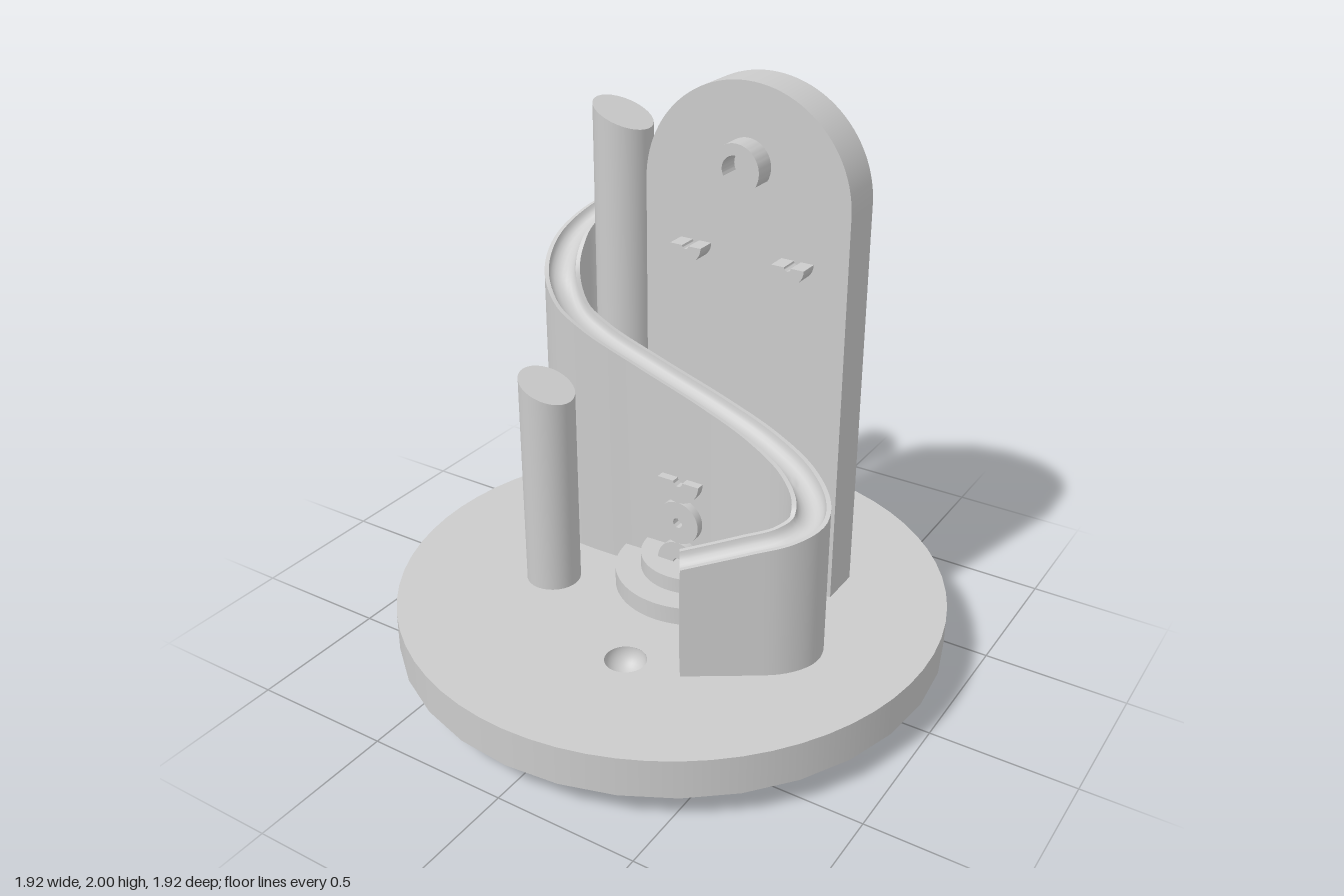
import * as THREE from 'three';
import { toCreasedNormals } from 'three/addons/utils/BufferGeometryUtils.js';

const material = new THREE.MeshStandardMaterial({ color: 0xcccccc });
const innerMaterial = new THREE.MeshStandardMaterial({ color: 0xcccccc, side: THREE.BackSide });
const FLOOR = 0.24; // top of the base

function part(name, geometry, mat = material) {
  const mesh = new THREE.Mesh(geometry, mat);
  mesh.name = name;
  return mesh;
}

// Flat outline pushed along z from z0 to z1
function slab(name, shape, z0, z1) {
  const g = new THREE.ExtrudeGeometry(shape, { depth: z1 - z0, bevelEnabled: false, curveSegments: 24 });
  g.translate(0, 0, z0);
  return part(name, toCreasedNormals(g, 0.6));
}

// Ring sector between two angles
function ringShape(x, y, outer, inner, a0, a1) {
  const s = new THREE.Shape();
  s.absarc(x, y, outer, a0, a1, false);
  s.absarc(x, y, inner, a1, a0, true);
  s.closePath();
  return s;
}

// Round post whose top is cut at a slant falling towards +x
function post(name, x, z, r, y0, y1) {
  const g = new THREE.CylinderGeometry(r, r, y1 - y0, 32);
  g.translate(0, (y0 + y1) / 2, 0);
  const p = g.attributes.position;
  for (let i = 0; i < p.count; i++) {
    if (p.getY(i) > y1 - 0.001) p.setY(i, y1 - 0.4 * p.getX(i));
  }
  g.translate(x, 0, z);
  return part(name, toCreasedNormals(g, 0.6));
}

// Round base with a bowl sunk into its top
function makeBase() {
  const base = new THREE.Group();
  base.name = 'base';
  const R = 0.96, bottom = 0.1;
  const top = new THREE.Shape().absarc(0, 0, R, 0, Math.PI * 2, false);
  top.holes.push(new THREE.Path().absarc(0.12, -0.47, 0.07, 0, Math.PI * 2, true));
  const topGeo = new THREE.ShapeGeometry(top, 32);
  topGeo.rotateX(-Math.PI / 2).translate(0, FLOOR, 0);
  const rim = new THREE.CylinderGeometry(R, R, FLOOR - bottom, 32, 1, true);
  rim.translate(0, (FLOOR + bottom) / 2, 0);
  const under = new THREE.CircleGeometry(R, 32);
  under.rotateX(Math.PI / 2).translate(0, bottom, 0);
  const bowl = new THREE.SphereGeometry(0.07, 32, 10, 0, Math.PI * 2, Math.PI / 2, Math.PI / 2);
  bowl.translate(0.12, FLOOR, 0.47);
  base.add(part('baseTop', topGeo), part('baseRim', rim), part('baseUnderside', under),
    part('baseBowl', bowl, innerMaterial));
  return base;
}

// Winding solid wall with a rounded channel along its top
function makeSlide() {
  const path = new THREE.CatmullRomCurve3([
    [-0.37, 1.52, -0.465], [-0.46, 1.48, -0.455], [-0.55, 1.42, -0.39], [-0.593, 1.34, -0.28],
    [-0.56, 1.25, -0.165], [-0.48, 1.16, -0.105], [-0.37, 1.1, -0.09], [-0.15, 1.015, -0.097],
    [0.1, 0.93, -0.1], [0.3, 0.87, -0.075], [0.47, 0.82, -0.01], [0.565, 0.775, 0.07],
    [0.588, 0.745, 0.14], [0.55, 0.72, 0.215], [0.45, 0.69, 0.29], [0.283, 0.64, 0.4],
  ].map((p) => new THREE.Vector3(...p)));

  // Counter-clockwise section: x across, y below the rim; null means the floor
  const W = 0.062, r = 0.047, arcSteps = 10;
  const section = [[-W, null], [W, null], [W, 0], [r, 0]];
  for (let k = 1; k < arcSteps; k++) {
    const a = (k / arcSteps) * Math.PI;
    section.push([r * Math.cos(a), -r * Math.sin(a)]);
  }
  section.push([-r, 0], [-W, 0]);

  const n = section.length, steps = 90, pos = [], index = [];
  for (let i = 0; i <= steps; i++) {
    const p = path.getPoint(i / steps);
    const t = path.getTangent(i / steps).setY(0).normalize();
    for (const [u, h] of section) pos.push(p.x + t.z * u, h === null ? FLOOR : p.y + h, p.z - t.x * u);
  }
  for (let i = 0; i < steps; i++) {
    for (let j = 0; j < n; j++) {
      const a = i * n + j, b = i * n + (j + 1) % n;
      index.push(a, b, b + n, a, b + n, a + n);
    }
  }
  // End faces
  const outline = section.map(([u, h]) => new THREE.Vector2(u, h === null ? -0.4 : h));
  for (const [a, b, c] of THREE.ShapeUtils.triangulateShape(outline, [])) {
    index.push(c, b, a, a + steps * n, b + steps * n, c + steps * n);
  }
  const g = new THREE.BufferGeometry();
  g.setAttribute('position', new THREE.Float32BufferAttribute(pos, 3));
  g.setIndex(index);
  return part('slide', toCreasedNormals(g, 0.7));
}

// Half-round steps in front of the slide wall
function makeStep(name, r, y0, y1) {
  const s = new THREE.Shape().absarc(0, 0, r, Math.PI, Math.PI * 2, false);
  s.closePath();
  const g = new THREE.ExtrudeGeometry(s, { depth: y1 - y0, bevelEnabled: false, curveSegments: 24 });
  g.rotateX(-Math.PI / 2).translate(0.065, y0, -0.05);
  return part(name, toCreasedNormals(g, 0.6));
}

// Stack of pierced discs, the end ones cut in half
function makeOrnament() {
  const group = new THREE.Group();
  group.name = 'ornament';
  const x = 0.055, r = 0.08, hole = 0.018, z0 = 0.02, z1 = 0.05;
  const disc = new THREE.Shape().absarc(x, 0.52, r, 0, Math.PI * 2, false);
  disc.holes.push(new THREE.Path().absarc(x, 0.52, hole, 0, Math.PI * 2, true));
  group.add(
    slab('lowerHalfDisc', ringShape(x, 0.36, r, hole, 0, Math.PI), z0, z1),
    slab('middleDisc', disc, z0, z1),
    slab('upperHalfDisc', ringShape(x, 0.68, r, hole, Math.PI, Math.PI * 2), z0, z1),
  );
  return group;
}

export function createModel() {
  const model = new THREE.Group();
  model.name = 'slideTower';
  model.add(makeBase(), makeSlide(), makeOrnament());
  model.add(makeStep('lowerStep', 0.28, FLOOR, 0.305), makeStep('upperStep', 0.19, 0.305, 0.36));
  model.add(post('frontPost', -0.373, 0.193, 0.095, 0, 0.99));
  model.add(post('backPost', -0.37, -0.28, 0.102, 0.61, 1.81));

  // Tall round-topped back panel
  const cx = 0.145, pr = 0.375;
  const panel = new THREE.Shape();
  panel.moveTo(cx - pr, FLOOR);
  panel.lineTo(cx + pr, FLOOR);
  panel.absarc(cx, 2 - pr, pr, 0, Math.PI, false);
  panel.closePath();
  model.add(slab('backPanel', panel, -0.357, -0.206));

  // Raised details on the panel
  model.add(slab('panelArch', ringShape(0.15, 1.735, 0.086, 0.047, -Math.PI / 6, Math.PI * 7 / 6), -0.21, -0.128));
  for (const [name, x] of [['rightLedge', -0.036], ['leftLedge', 0.341]]) {
    model.add(slab(name, ringShape(x, 1.447, 0.058, 0.012, Math.PI, Math.PI * 2), -0.21, -0.138));
  }
  return model;
}
